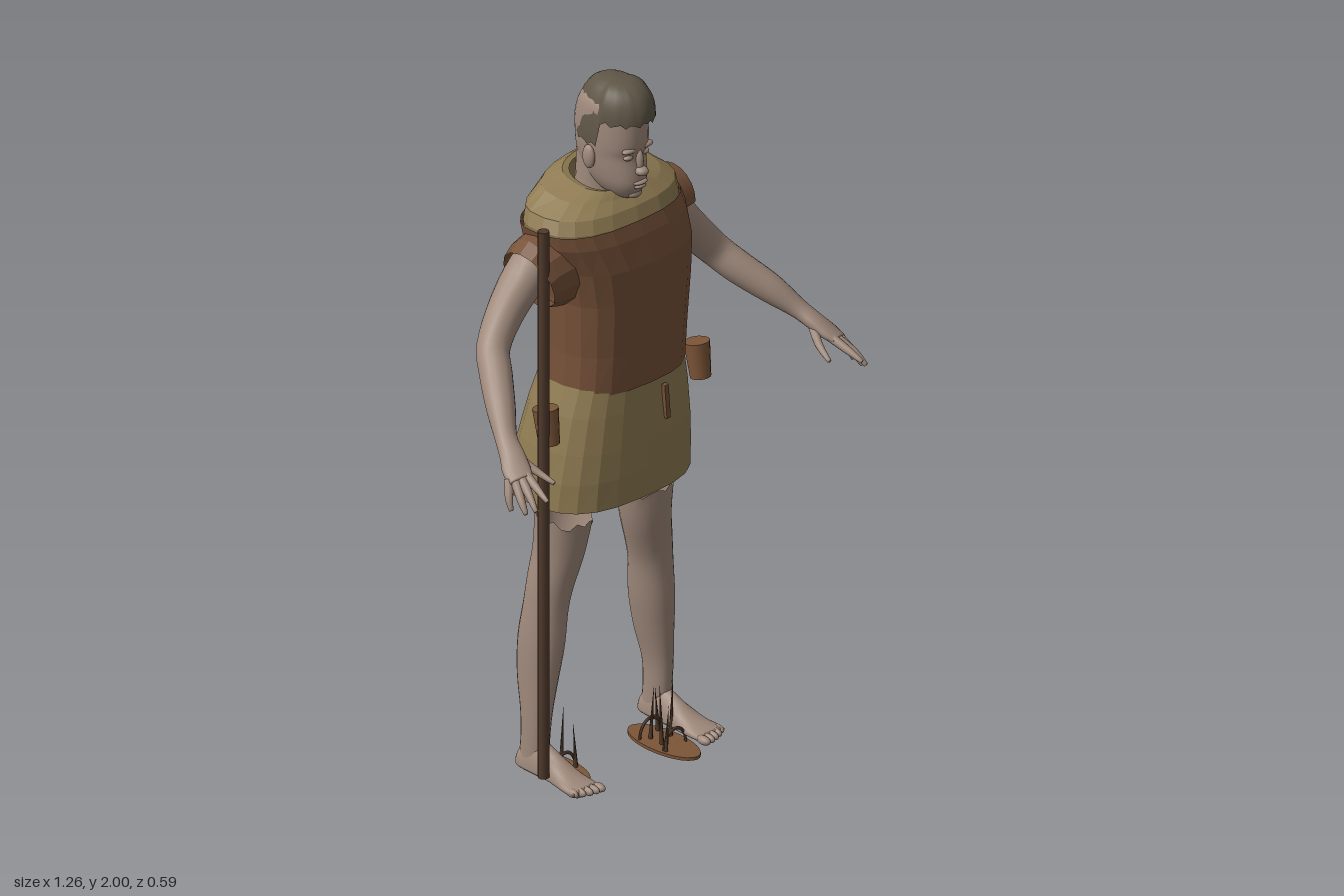
import * as THREE from 'three';

const mat = (name, color, side = THREE.DoubleSide) =>
  Object.assign(new THREE.MeshStandardMaterial({ color, side }), { name });

// Skin a list of equal-length rings, optionally closing the ends with fans
function loft(rings, capA, capB, flat) {
  const n = rings[0].length, pos = [], idx = [];
  rings.forEach(r => r.forEach(p => pos.push(p.x, p.y, p.z)));
  for (let i = 0; i < rings.length - 1; i++) for (let j = 0; j < n; j++) {
    const a = i * n + j, b = i * n + (j + 1) % n;
    idx.push(a, b, b + n, a, b + n, a + n);
  }
  const cap = (i, flip) => {
    const c = rings[i].reduce((s, p) => s.add(p), new THREE.Vector3()).divideScalar(n);
    const k = pos.length / 3;
    pos.push(c.x, c.y, c.z);
    for (let j = 0; j < n; j++) {
      const a = i * n + j, b = i * n + (j + 1) % n;
      idx.push(k, flip ? b : a, flip ? a : b);
    }
  };
  if (capA) cap(0, true);
  if (capB) cap(rings.length - 1, false);
  let g = new THREE.BufferGeometry();
  g.setAttribute('position', new THREE.Float32BufferAttribute(pos, 3));
  g.setIndex(idx);
  if (flat) g = g.toNonIndexed();
  g.computeVertexNormals();
  return g;
}

// Smoothly resample rows of numbers
function resample(rows, count) {
  const at = (i, c) => rows[Math.min(rows.length - 1, Math.max(0, i))][c];
  return Array.from({ length: count + 1 }, (_, k) => {
    const u = k / count * (rows.length - 1), i = Math.min(rows.length - 2, Math.floor(u)), t = u - i;
    return rows[0].map((_, c) => {
      const [a, b, d, e] = [at(i - 1, c), at(i, c), at(i + 1, c), at(i + 2, c)];
      return b + 0.5 * t * (d - a + t * (2 * a - 5 * b + 4 * d - e + t * (3 * (b - d) + e - a)));
    });
  });
}

// Rounded limb along rows [x, y, z, radiusU, radiusV]; ref steers the U axis
function limbRings(rows, ref, count, sides) {
  const r = resample(rows, count), P = r.map(q => new THREE.Vector3(q[0], q[1], q[2]));
  return r.map((q, i) => {
    const t = P[Math.min(i + 1, count)].clone().sub(P[Math.max(i - 1, 0)]).normalize();
    const u = ref.clone().addScaledVector(t, -ref.dot(t)).normalize();
    const v = t.clone().cross(u);
    return Array.from({ length: sides }, (_, j) => {
      const a = j / sides * Math.PI * 2;
      return P[i].clone().addScaledVector(u, q[3] * Math.cos(a)).addScaledVector(v, q[4] * Math.sin(a));
    });
  });
}

// Horizontal section [y, xMin, xMax, zBack, zFront]; squareness e, back skew k, tilt lifts the back
function section([y, x0, x1, zb, zf], sides, e = 0.8, k = 0, tilt = 0) {
  const sp = v => Math.sign(v) * Math.abs(v) ** e;
  return Array.from({ length: sides }, (_, j) => {
    const a = j / sides * Math.PI * 2, s = sp(Math.sin(a)), c = sp(Math.cos(a));
    const d = c < 0 ? c * (1 + k * (s - 0.4)) : c;
    return new THREE.Vector3((x0 + x1) / 2 + (x1 - x0) / 2 * s, y - tilt * c, (zb + zf) / 2 + (zf - zb) / 2 * d);
  });
}

function mirrored(g) {
  const m = g.clone().scale(-1, 1, 1), ix = m.index.array;
  for (let i = 0; i < ix.length; i += 3) [ix[i + 1], ix[i + 2]] = [ix[i + 2], ix[i + 1]];
  return m;
}

export function createModel() {
  const root = new THREE.Group();
  root.name = 'villager';
  const skin = mat('skin', 0xa08a7c), tan = mat('tan cloth', 0x8f7b52), brown = mat('brown leather', 0x775239);
  const hairMat = mat('hair', 0x5f5646), wood = mat('dark wood', 0x503a2c), cupMat = mat('cup leather', 0x7c5538);

  const add = (name, g, m) => {
    const o = new THREE.Mesh(g, m);
    o.name = name;
    root.add(o);
    return o;
  };
  const pair = (name, g, m) => { add('left' + name, g, m); add('right' + name, mirrored(g), m); };
  const blob = (x, y, z, rx, ry, rz) => new THREE.SphereGeometry(1, 14, 10).scale(rx, ry, rz).translate(x, y, z);

  // Head and neck
  const headRows = [[1.675, -.025, .025, -.04, .03], [1.69, -.042, .042, -.09, .045], [1.72, -.058, .058, -.13, .06],
    [1.76, -.068, .068, -.15, .058], [1.8, -.073, .073, -.158, .052], [1.83, -.075, .075, -.16, .06],
    [1.88, -.076, .076, -.16, .06], [1.94, -.07, .07, -.14, .05], [1.97, -.045, .045, -.1, .01]];
  add('head', loft(resample(headRows, 24).map(r => section(r, 32, .92)), true, true), skin);
  const neckRows = [[1.58, -.075, .08, -.19, -.01], [1.66, -.063, .065, -.165, -.03], [1.78, -.06, .06, -.157, -.03]];
  add('neck', loft(resample(neckRows, 6).map(r => section(r, 24, 1)), false, false), skin);
  add('noseBridge', blob(0, 1.79, .053, .01, .035, .014), skin);
  add('noseTip', blob(0, 1.763, .062, .018, .013, .02), skin);
  add('upperLip', blob(0, 1.729, .058, .024, .006, .012), skin);
  add('lowerLip', blob(0, 1.718, .056, .02, .007, .012), skin);
  add('chin', blob(0, 1.69, .036, .022, .014, .016), skin);
  pair('Eye', blob(.029, 1.804, .042, .015, .008, .011), skin);
  pair('Brow', blob(.029, 1.826, .047, .025, .008, .013), skin);
  pair('Ear', blob(.078, 1.79, -.055, .012, .034, .021), skin);

  // Cropped hair with a jagged hairline, lower behind the temples
  const hair = Array.from({ length: 12 }, (_, k) => {
    const f = k / 11 * Math.PI / 2 * .99, r = Math.cos(f) ** .62;
    return Array.from({ length: 48 }, (_, j) => {
      const a = j / 48 * Math.PI * 2, low = (Math.cos(a) > .15 ? 1.902 : 1.832) + .006 * Math.sin(j * 2.3);
      return new THREE.Vector3(.008 + .09 * r * Math.sin(a), low + (2 - low) * Math.sin(f), -.043 + .119 * r * Math.cos(a));
    });
  });
  add('hair', loft(hair, false, true), hairMat);

  // Faceted clothing
  const vestRows = [[1.14, -.18, .225, -.235, .075], [1.25, -.175, .23, -.245, .08], [1.4, -.18, .24, -.255, .088],
    [1.5, -.2, .245, -.258, .09], [1.58, -.24, .24, -.255, .075], [1.62, -.25, .228, -.248, .062]];
  add('vest', loft(vestRows.map(r => section(r, 22, .75, .2)), false, false, true), brown);
  const yokeRows = [[1.575, -.235, .232, -.245, .06], [1.62, -.24, .232, -.248, .055], [1.655, -.225, .23, -.25, .04],
    [1.69, -.165, .185, -.235, .015], [1.71, -.1, .11, -.2, 0], [1.705, -.08, .09, -.185, -.01]];
  add('shoulderYoke', loft(yokeRows.map((r, i) => section(r, 22, .8, .2, i > 2 ? .015 : .004)), false, false, true), tan);
  const skirtRows = [[1.16, -.178, .222, -.23, .07], [1.08, -.205, .236, -.25, .076], [.98, -.23, .246, -.27, .082],
    [.9, -.246, .25, -.287, .085], [.82, -.255, .25, -.3, .085]].reverse();
  const skirt = skirtRows.map(r => section(r, 22, .72, .12));
  const bottom = section([.845, -.2, .2, -.24, .03], 22, .72, .12);
  add('skirt', loft([bottom, ...skirt], true, false, true), tan);
  add('skirtTie', new THREE.BoxGeometry(.014, .1, .012).rotateZ(.08).translate(.072, 1.07, .08), brown);

  // Right short sleeve and left shoulder flap
  const X = new THREE.Vector3(0, 1, 0);
  const sleeve = [[-.17, 1.5, -.085, .115, .1], [-.225, 1.5, -.085, .112, .095], [-.268, 1.485, -.083, .095, .086]];
  add('rightSleeve', loft(limbRings(sleeve, X, 3, 14), false, false, true), brown);
  const flap = new THREE.CylinderGeometry(.082, .1, .085, 10, 1, true, Math.PI * .5, Math.PI);
  flap.rotateY(-Math.PI / 2).rotateZ(-Math.PI / 2).scale(1, 1, 1);
  flap.computeBoundingBox();
  if (flap.boundingBox.max.y < .05) flap.rotateX(Math.PI);
  add('leftShoulderFlap', flap.translate(.232, 1.545, -.1), brown);

  // Arms, palms and fingers
  const ref = new THREE.Vector3(1, -.2, -.4);
  const arm = [[.17, 1.54, -.1, .06, .06], [.25, 1.5, -.102, .06, .062], [.33, 1.42, -.1, .052, .052],
    [.4, 1.34, -.08, .045, .045], [.44, 1.29, -.03, .044, .044], [.49, 1.235, .04, .039, .039],
    [.53, 1.185, .1, .03, .026], [.55, 1.155, .145, .034, .022], [.568, 1.13, .18, .038, .018], [.577, 1.116, .208, .032, .012]];
  pair('Arm', loft(limbRings(arm, ref, 36, 18), true, true), skin);
  const fingers = {
    Thumb: [[.542, 1.155, .14], [.515, 1.118, .195], [.5, 1.095, .25]],
    Index: [[.555, 1.127, .195], [.565, 1.105, .25], [.572, 1.085, .298]],
    Middle: [[.572, 1.12, .2], [.59, 1.09, .25], [.6, 1.06, .285]],
    Ring: [[.588, 1.115, .195], [.605, 1.075, .235], [.612, 1.047, .26]],
    Little: [[.596, 1.115, .18], [.616, 1.075, .2], [.622, 1.045, .215]] };
  for (const [name, pts] of Object.entries(fingers)) {
    const rows = pts.map((p, i) => [...p, [.014, .011, .006][i], [.013, .011, .006][i]]);
    pair(name + 'Finger', loft(limbRings(rows, ref, 6, 10), true, true), skin);
  }

  // Legs, open and ragged above the knee
  const Z = new THREE.Vector3(0, 0, 1);
  const leg = [[.222, .045, -.115, .045, .03], [.222, .12, -.107, .045, .031], [.22, .2, -.105, .05, .034],
    [.21, .3, -.11, .064, .045], [.2, .4, -.107, .07, .054], [.19, .5, -.1, .064, .056], [.178, .57, -.095, .065, .061],
    [.157, .66, -.086, .071, .068], [.147, .755, -.078, .078, .076]];
  const legRings = limbRings(leg, Z, 28, 22);
  legRings.at(-1).forEach((p, j) => { p.y += .012 * Math.sin(j * 1.9); });
  pair('Leg', loft(legRings, true, false), skin);

  // Feet: cross-sections [z, centreX, halfWidth, topY] with a flat sole
  const foot = [[-.165, .222, .016, .06], [-.145, .222, .03, .09], [-.09, .222, .034, .12], [-.03, .222, .036, .1],
    [.02, .225, .043, .072], [.06, .228, .048, .056], [.09, .228, .047, .048]];
  const footRings = resample(foot, 18).map(([z, x, w, top]) => Array.from({ length: 16 }, (_, j) => {
    const a = j / 16 * Math.PI * 2, s = Math.sin(a);
    return new THREE.Vector3(x + w * Math.cos(a), .04 + (s > 0 ? (top - .04) * s : Math.max(s, -.8) * .019), z);
  }));
  pair('Foot', loft(footRings, true, true), skin);
  for (let i = 0; i < 5; i++)
    pair('Toe' + (i + 1), blob(.191 + i * .0185, .038, .098 - i * i * .0015, i ? .0095 : .013, .012, .023), skin);

  // Oval sandal soles with loose upright thongs
  for (const [s, name, z] of [[1, 'left', -.01], [-1, 'right', -.11]]) {
    const sole = new THREE.CylinderGeometry(1, 1, .009, 28).scale(.055, 1, .125);
    add(name + 'SandalSole', sole.translate(s * .152, .0065, z), cupMat);
    for (const [x, h, dz, lean] of [[.13, .185, .01, .05], [.143, .15, -.035, -.08], [.19, .18, -.01, -.05], [.178, .13, -.055, .08], [.12, .13, .045, -.08]]) {
      const spike = new THREE.ConeGeometry(.0065, h, 5).rotateZ(s * lean);
      add(name + 'Thong', spike.translate(s * x, h / 2 + .01, z + dz), wood);
    }
    for (const dz of [-.05, .04]) {
      const arch = new THREE.TorusGeometry(.04, .004, 5, 14, Math.PI).scale(1, 1.3, 1);
      add(name + 'Strap', arch.translate(s * .152, .01, z + dz), wood);
    }
  }

  // Staff and the two belt cups
  add('staff', new THREE.CylinderGeometry(.0155, .0155, 1.6, 10).translate(-.277, .855, -.02), wood);
  for (const [name, x] of [['leftCup', .3], ['rightCup', -.25]]) {
    const cup = add(name, new THREE.CylinderGeometry(.035, .028, .1, 14), cupMat);
    cup.position.set(x, 1.07, -.033);
    cup.rotation.x = -.15;
  }
  return root;
}
